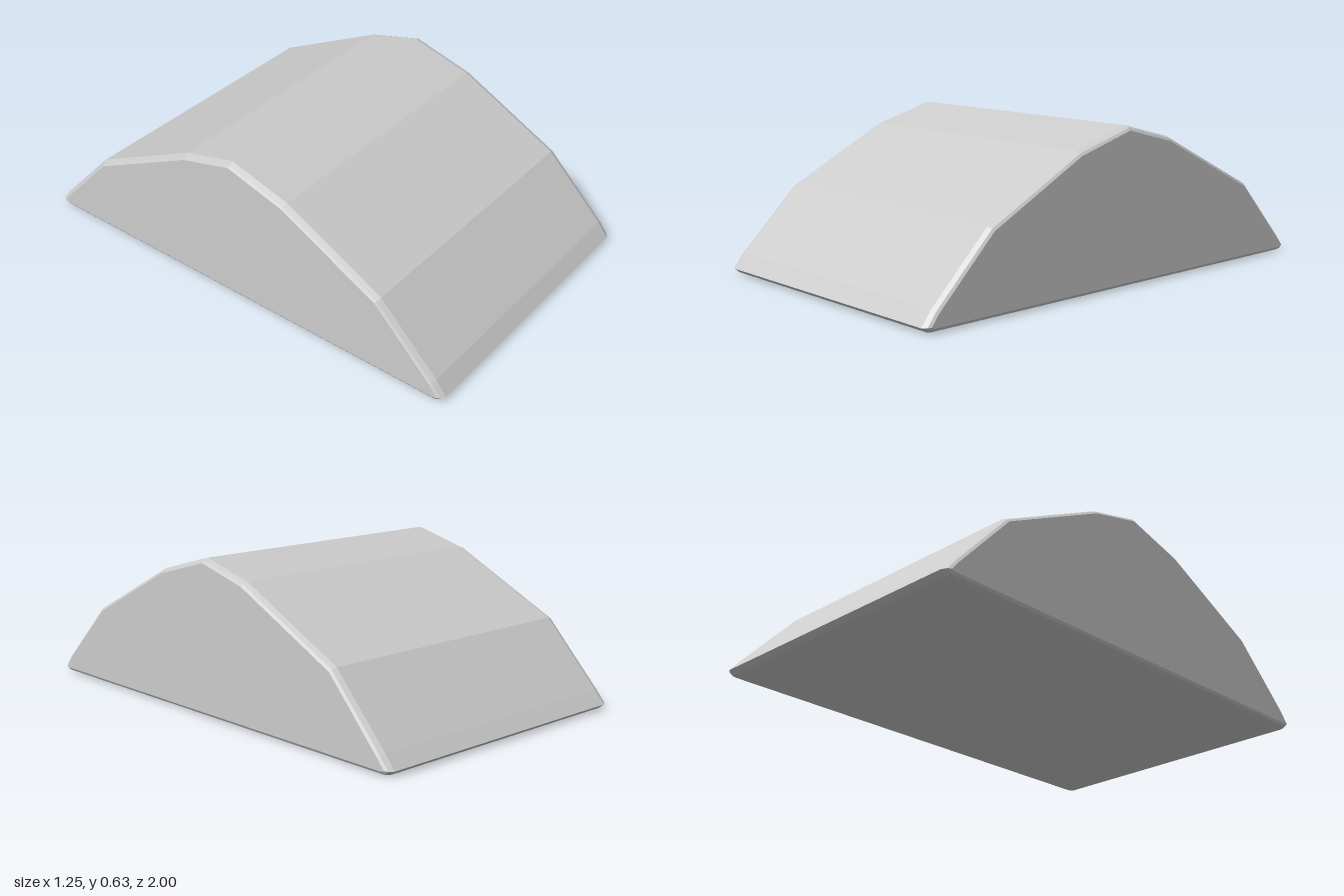
import * as THREE from 'three';

// Side outline as (z, y), running from the front foot over the ridge to the back
const outline = [
  [1, 0.022], [0.955, 0.08], [0.7, 0.33], [0.265, 0.552], [0, 0.626],
  [-0.235, 0.565], [-0.715, 0.33], [-0.955, 0.075], [-1, 0.022],
  [-0.978, 0.004], [-0.96, 0], [0.96, 0], [0.978, 0.004],
].map(([z, y]) => new THREE.Vector2(z, y));

// Cross-sections along x: position and how far the outline is drawn in
const sections = [
  [-0.624, 0.018], [-0.617, 0.008], [-0.597, 0],
  [0.597, 0], [0.617, 0.008], [0.624, 0.018],
];

// Move every outline edge inwards by the same distance
function inset(points, distance) {
  const n = points.length;
  const normal = (a, b) => new THREE.Vector2(a.y - b.y, b.x - a.x).normalize();
  return points.map((p, i) => {
    const n1 = normal(points[(i + n - 1) % n], p);
    const n2 = normal(p, points[(i + 1) % n]);
    return p.clone().addScaledVector(n1.clone().add(n2), distance / (1 + n1.dot(n2)));
  });
}

// Skin the sections and close both flat ends
function loft() {
  const positions = [], index = [], n = outline.length;
  for (const [x, distance] of sections) {
    for (const p of inset(outline, distance)) {
      const lean = 1 - 0.01 * p.y; // the ends lean in slightly towards the top
      positions.push(x * lean, p.y, p.x);
    }
  }
  const last = (sections.length - 1) * n;
  for (let s = 0; s < last; s += n) {
    for (let j = 0; j < n; j++) {
      const a = s + j, b = s + (j + 1) % n;
      index.push(a, a + n, b + n, a, b + n, b);
    }
  }
  for (let j = 1; j < n - 1; j++) {
    index.push(0, j, j + 1, last, last + j + 1, last + j);
  }
  const geometry = new THREE.BufferGeometry();
  geometry.setAttribute('position', new THREE.Float32BufferAttribute(positions, 3));
  geometry.setIndex(index);
  geometry.computeVertexNormals();
  return geometry;
}

export function createModel() {
  const group = new THREE.Group();
  const material = new THREE.MeshStandardMaterial({ color: 0xcccccc, flatShading: true });
  const block = new THREE.Mesh(loft(), material);
  block.name = 'archedBlock';
  group.add(block);
  return group;
}
